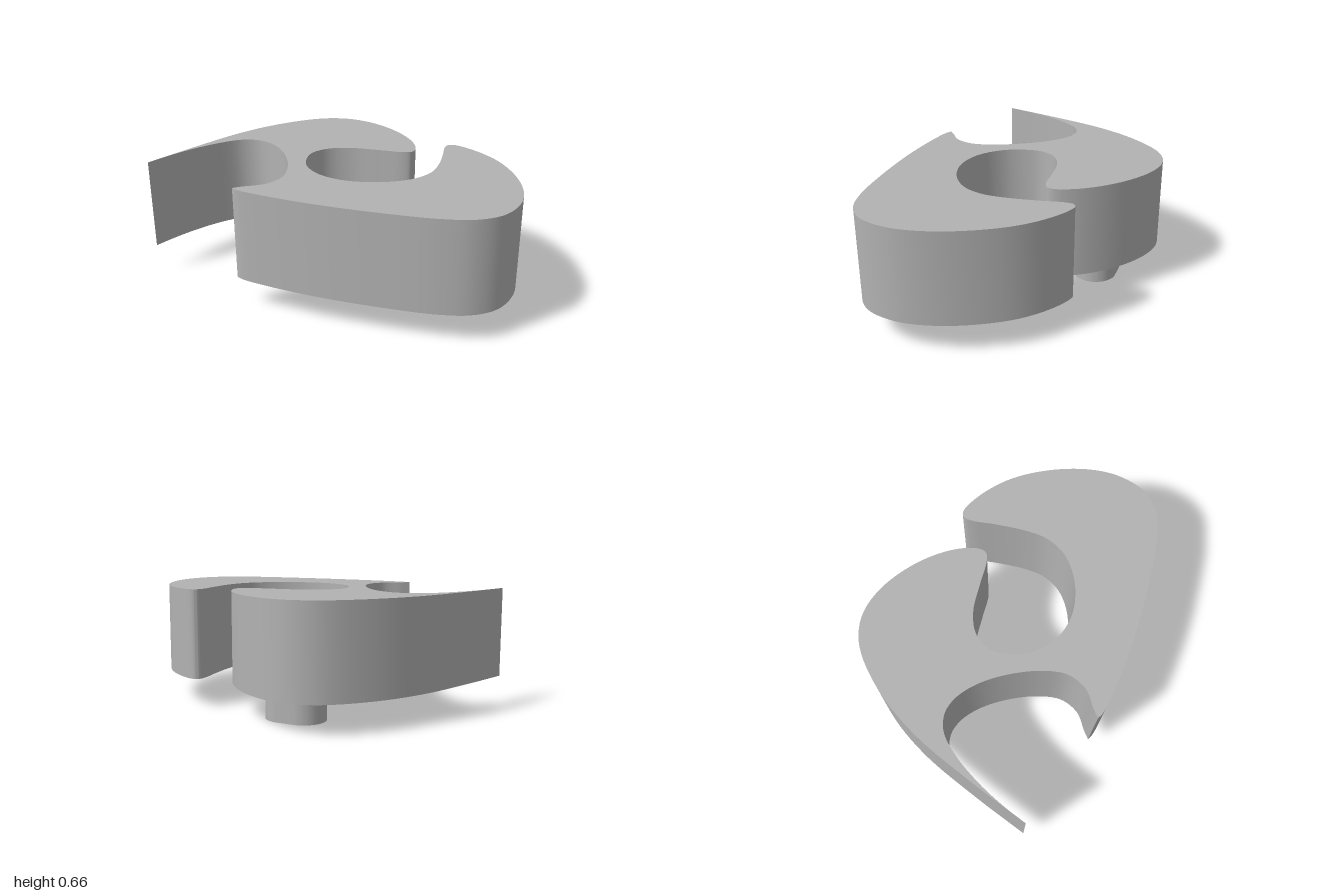
import * as THREE from 'three';
import { toCreasedNormals } from 'three/addons/utils/BufferGeometryUtils.js';

// Smooth centripetal curve through [x, z] points, sampled as shape points (shape y = -z)
function smooth(points, samples) {
  const curve = new THREE.CatmullRomCurve3(points.map(([x, z]) => new THREE.Vector3(x, -z, 0)));
  return curve.getPoints(samples).map((p) => new THREE.Vector2(p.x, p.y));
}

// Upright prism from y = bottom to y = top
function prism(shape, bottom, top) {
  const geo = new THREE.ExtrudeGeometry(shape, { depth: top - bottom, bevelEnabled: false, curveSegments: 24 });
  geo.rotateX(-Math.PI / 2).translate(0, bottom, 0);
  return toCreasedNormals(geo, 0.7);
}

export function createModel() {
  const model = new THREE.Group();
  const grey = new THREE.MeshStandardMaterial({ color: 0xb2b2b2 });
  grey.name = 'plain grey';

  // Main outline: from the thin tail round the back lobe, inner hollow and side hook to the front tip
  const outer = smooth([
    [-1, 0.48], [-0.91, 0.17], [-0.79, -0.18], [-0.66, -0.42], [-0.5, -0.605], [-0.39, -0.675], [-0.27, -0.7],
    [-0.13, -0.675], [0.02, -0.6], [0.16, -0.485], [0.255, -0.36], [0.293, -0.26], [0.285, -0.215], [0.24, -0.192],
    [0.1, -0.177], [-0.06, -0.155], [-0.17, -0.1], [-0.225, -0.02], [-0.23, 0.06], [-0.18, 0.2],
    [-0.06, 0.307], [0.1, 0.344], [0.28, 0.3], [0.42, 0.195], [0.48, 0.07], [0.485, -0.06],
    [0.465, -0.22], [0.44, -0.36], [0.445, -0.405], [0.475, -0.423], [0.6, -0.375], [0.77, -0.24],
    [0.91, -0.03], [0.985, 0.18], [0.995, 0.34], [0.95, 0.49], [0.85, 0.585], [0.7, 0.638],
    [0.45, 0.672], [0.1, 0.692], [-0.2, 0.682], [-0.35, 0.663], [-0.385, 0.647],
  ], 260);
  // Front notch: from the tip back to the tail
  const notch = smooth([
    [-0.385, 0.647], [-0.345, 0.61], [-0.26, 0.54], [-0.22, 0.43], [-0.25, 0.29], [-0.34, 0.12], [-0.44, 0],
    [-0.54, -0.07], [-0.63, -0.09], [-0.72, -0.06], [-0.81, 0.04], [-0.9, 0.2], [-0.96, 0.35], [-1, 0.48],
  ], 90);
  const body = new THREE.Mesh(prism(new THREE.Shape([...outer, ...notch.slice(1, -1)]), 0.16, 0.66), grey);
  body.name = 'curledBody';
  model.add(body);

  // Short rounded peg under the back lobe
  const peg = new THREE.Shape();
  peg.absarc(-0.2, 0.38, 0.122, Math.PI / 2, Math.PI * 1.5);
  peg.absarc(-0.108, 0.38, 0.122, -Math.PI / 2, Math.PI / 2);
  const foot = new THREE.Mesh(prism(peg, 0, 0.16), grey);
  foot.name = 'footPeg';
  model.add(foot);

  return model;
}
